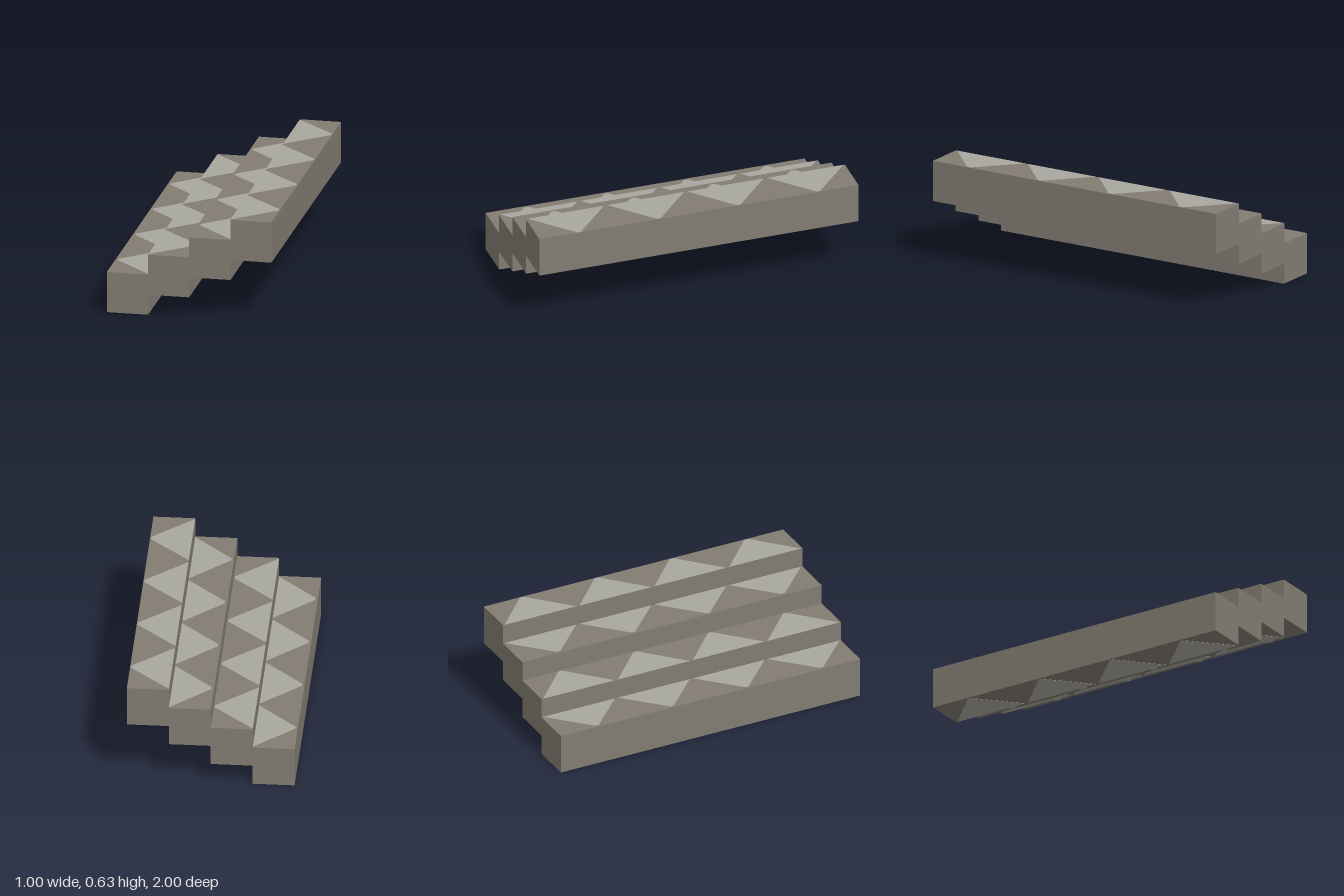
import * as THREE from 'three';

const STEPS = 4, RUN = 0.25, RISE = 0.125, HEIGHT = 0.25, LENGTH = 2, PLATE = 0.001;

export function createModel() {
  const stone = new THREE.MeshStandardMaterial({ color: 0x827c72 });
  stone.name = 'dark stone';
  const inlay = new THREE.MeshStandardMaterial({ color: 0xa9a79f });
  inlay.name = 'light stone';
  const model = new THREE.Group();
  model.name = 'staircase';

  // Stepped profile: along the underside, then back down over the treads
  const under = [], over = [];
  for (let i = 0; i < STEPS; i++) {
    const x = -0.5 + i * RUN, y = i * RISE;
    under.push(new THREE.Vector2(x, y), new THREE.Vector2(x + RUN, y));
    over.push(new THREE.Vector2(x, y + HEIGHT), new THREE.Vector2(x + RUN, y + HEIGHT));
  }
  const profile = new THREE.Shape([...under, ...over.reverse()]);
  const bodyGeo = new THREE.ExtrudeGeometry(profile, { depth: LENGTH, bevelEnabled: false });
  bodyGeo.translate(0, 0, -LENGTH / 2);
  const body = new THREE.Mesh(bodyGeo, stone);
  body.name = 'steps';
  model.add(body);

  // Half diamond lying flat: base on the shared step edge, blunt tip pointing away
  const halfDiamond = (tip) => {
    const shape = new THREE.Shape([
      new THREE.Vector2(0, -0.24), new THREE.Vector2(tip, -0.012),
      new THREE.Vector2(tip, 0.012), new THREE.Vector2(0, 0.24),
    ]);
    return new THREE.ExtrudeGeometry(shape, { depth: PLATE, bevelEnabled: false }).rotateX(Math.PI / 2);
  };

  // Inlays on each tread and on the matching underside
  for (let i = 0; i < STEPS; i++) {
    const lower = i % 2 === 0;
    const geo = halfDiamond(lower ? -0.235 : 0.245);
    const edge = -0.5 + (lower ? i + 1 : i) * RUN;
    for (let k = 0; k < 4; k++) {
      const z = -0.75 + k * 0.5;
      const sides = [['treadInlay', i * RISE + HEIGHT + PLATE], ['undersideInlay', i * RISE]];
      for (const [name, y] of sides) {
        const mesh = new THREE.Mesh(geo, inlay);
        mesh.name = name;
        mesh.position.set(edge, y, z);
        model.add(mesh);
      }
    }
  }
  return model;
}
